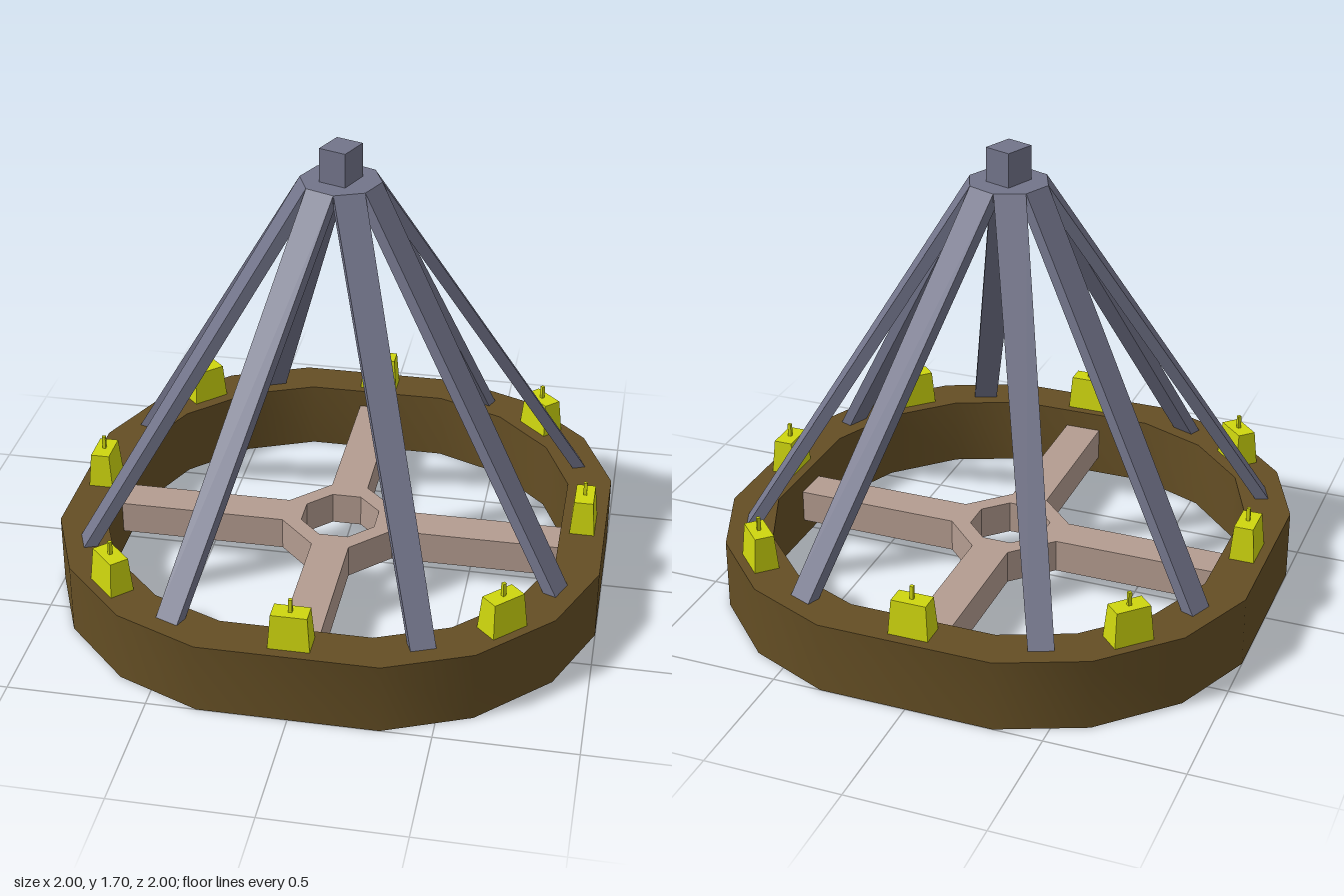
import * as THREE from 'three';
import { toCreasedNormals } from 'three/addons/utils/BufferGeometryUtils.js';

const mat = (color, flatShading = true) => new THREE.MeshStandardMaterial({ color, flatShading });
const wood = mat(0x644e24, false);
const brace = mat(0xb49c90);
const iron = mat(0x72748a);
const wax = mat(0xced60e);

// Repeats the points of one quadrant around the centre
function fourfold(points) {
  const out = [];
  for (let k = 0; k < 4; k++) {
    for (const [x, y] of points) out.push(new THREE.Vector2(x, y).rotateAround(new THREE.Vector2(), k * Math.PI / 2));
  }
  return out;
}

// Flat plate with a hole, lying in the ground plane between two heights
function plate(outline, hole, y0, y1) {
  const shape = new THREE.Shape(outline);
  shape.holes.push(new THREE.Path(hole));
  const geo = new THREE.ExtrudeGeometry(shape, { depth: y1 - y0, bevelEnabled: false });
  return geo.rotateX(-Math.PI / 2).translate(0, y0, 0);
}

// Unit box whose vertices are moved by a rule
function shapedBox(rule) {
  const geo = new THREE.BoxGeometry(2, 1, 2);
  const p = geo.attributes.position;
  const v = new THREE.Vector3();
  for (let i = 0; i < p.count; i++) {
    rule(v.fromBufferAttribute(p, i));
    p.setXYZ(i, v.x, v.y, v.z);
  }
  geo.computeVertexNormals();
  return geo;
}

export function createModel() {
  const model = new THREE.Group();
  const add = (name, geo, material, parent = model) => {
    const mesh = new THREE.Mesh(geo, material);
    mesh.name = name;
    parent.add(mesh);
    return mesh;
  };

  // Sixteen-sided wooden rim
  const rim = [[1, 0.32], [0.872, 0.625], [0.625, 0.872], [0.32, 1]];
  const inner = rim.map(([x, y]) => [x * 0.838, y * 0.838]);
  add('rim', toCreasedNormals(plate(fourfold(rim), fourfold(inner), 0, 0.265), Math.PI / 6), wood);

  // Cross brace with a chamfered hub and an open middle
  const cross = [[0.85, -0.07], [0.85, 0.07], [0.21, 0.07], [0.07, 0.21]];
  add('crossBrace', plate(fourfold(cross), fourfold([[0.14, 0.055], [0.055, 0.14]]), 0.07, 0.195), brace);

  // Eight slanted struts, from the rim to the crown
  const topZ = -0.015;
  for (let k = 0; k < 8; k++) {
    const face = (k + 0.5) * Math.PI / 4;
    const foot = face + (k % 2 ? -1 : 1) * 0.08;
    add('strut', shapedBox((v) => {
      const top = v.y > 0;
      const r = top ? 0.136 : 0.99;
      const a = top ? face : foot;
      const side = v.x * (top ? 0.056 : 0.045);
      const depth = v.z > 0 ? 0 : -0.05;
      v.set(
        r * Math.sin(a) + depth * Math.sin(face) + side * Math.cos(face),
        top ? 1.575 : 0.255,
        r * Math.cos(a) + depth * Math.cos(face) - side * Math.sin(face) + (top ? topZ : 0));
    }), iron);
  }

  // Crown plate and finial block
  add('crown', new THREE.CylinderGeometry(0.147, 0.147, 0.03, 8), iron).position.set(0, 1.56, topZ);
  const finial = add('finial', new THREE.BoxGeometry(0.105, 0.13, 0.12), iron);
  finial.position.set(0, 1.635, topZ);
  finial.rotation.y = -0.36;

  // Eight tapered candles with wicks
  const candleGeo = shapedBox((v) => {
    const top = v.y > 0;
    v.set(v.x * (top ? 0.064 : 0.074), top ? 0.395 : 0.26, v.z * (top ? 0.035 : 0.046));
  });
  const wickGeo = new THREE.BoxGeometry(0.013, 0.05, 0.013).translate(0, 0.42, 0);
  for (let k = 0; k < 8; k++) {
    const a = k * Math.PI / 4;
    const r = k % 2 ? 0.98 : 0.917;
    const candle = new THREE.Group();
    candle.name = 'candle';
    candle.position.set(r * Math.sin(a), 0, r * Math.cos(a));
    candle.rotation.y = a;
    add('candleBody', candleGeo, wax, candle);
    add('wick', wickGeo, wax, candle);
    model.add(candle);
  }
  return model;
}
